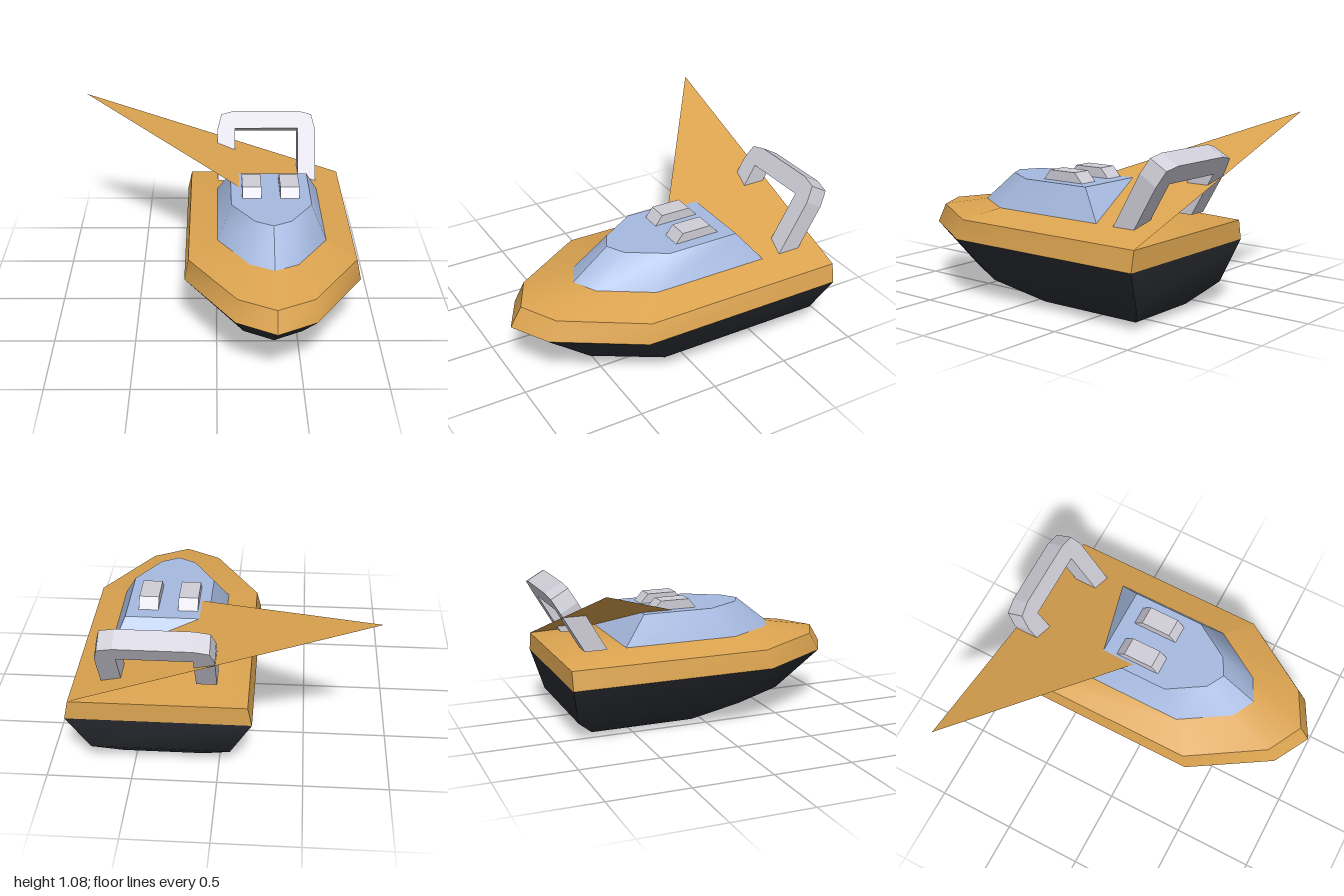
import * as THREE from 'three';
import { toCreasedNormals } from 'three/addons/utils/BufferGeometryUtils.js';

const CX = 0.342; // centre line of the boat

const paint = (name, color) => {
  const m = new THREE.MeshStandardMaterial({ color });
  m.name = name;
  return m;
};

// Seven-point pointed outline, from stern to bow and back to stern
function ring(y, halfWidth, back, shoulder, noseWidth, noseZ, tip) {
  return [
    [halfWidth, back], [halfWidth, shoulder], [noseWidth, noseZ], [0, tip],
    [-noseWidth, noseZ], [-halfWidth, shoulder], [-halfWidth, back],
  ].map(([x, z]) => [CX + x, y, z]);
}

// Skin stacked outlines, listed from bottom to top
function loft(rings, capBottom, capTop) {
  const n = rings[0].length, index = [];
  for (let r = 0; r < rings.length - 1; r++) {
    for (let i = 0; i < n; i++) {
      const a = r * n + i, b = r * n + (i + 1) % n;
      index.push(a, a + n, b, a + n, b + n, b);
    }
  }
  const top = (rings.length - 1) * n;
  for (let i = 1; i < n - 1; i++) {
    if (capBottom) index.push(0, i, i + 1);
    if (capTop) index.push(top, top + i + 1, top + i);
  }
  const g = new THREE.BufferGeometry();
  g.setAttribute('position', new THREE.Float32BufferAttribute(rings.flat(2), 3));
  g.setIndex(index);
  return toCreasedNormals(g, THREE.MathUtils.degToRad(34));
}

export function createModel() {
  const group = new THREE.Group();
  const orange = paint('orange', 0xdca450);
  orange.side = THREE.DoubleSide;
  const black = paint('charcoal', 0x2a2d33);
  const blue = paint('pale blue', 0xa6bae0);
  const grey = paint('light grey', 0xd0ced8);

  const add = (name, geometry, material) => {
    const mesh = new THREE.Mesh(geometry, material);
    mesh.name = name;
    group.add(mesh);
    return mesh;
  };

  // Outlines at each level
  const keel = ring(0, 0.245, -0.74, -0.06, 0.107, 0.15, 0.21);
  const chine = ring(0.125, 0.41, -0.87, 0.2, 0.18, 0.58, 0.68);
  const gunwale = ring(0.37, 0.54, -0.93, 0.38, 0.235, 0.87, 1.0);
  const rim = ring(0.49, 0.515, -0.93, 0.35, 0.225, 0.81, 0.93);
  const cabinBase = ring(0.55, 0.335, -0.53, 0.21, 0.145, 0.515, 0.59);
  const cabinRoof = ring(0.73, 0.25, -0.38, 0.08, 0.11, 0.305, 0.365);

  add('hull', loft([keel, chine, gunwale], true, false), black);
  add('gunwaleBand', loft([gunwale, rim], false, false), orange);
  add('deck', loft([rim, cabinBase], false, false), orange);
  add('cabin', loft([cabinBase, cabinRoof], false, true), blue);

  // Sloping sail-like panel from the deck edge to a high point at the side
  const panel = new THREE.BufferGeometry();
  panel.setAttribute('position', new THREE.Float32BufferAttribute(
    [0.857, 0.49, 0.35, 0.857, 0.49, -0.93, -0.89, 1.08, -0.93], 3));
  panel.computeVertexNormals();
  add('sidePanel', panel, orange);

  // Roof vents
  const ventShape = new THREE.Shape([[0, 0.725], [0.3, 0.725], [0.24, 0.79], [0.05, 0.79]]
    .map(([x, y]) => new THREE.Vector2(x, y)));
  for (const x of [0.162, 0.402]) {
    const g = new THREE.ExtrudeGeometry(ventShape, { depth: 0.12, bevelEnabled: false });
    g.rotateY(Math.PI / 2); // profile runs towards the stern
    g.translate(x, 0, 0);
    add('roofVent', g, grey);
  }

  // Raked arch with chamfered shoulders
  const half = [[0.335, 0], [0.335, 0.36], [0.31, 0.46], [0.22, 0.484]];
  const inner = [[-0.215, 0], [-0.215, 0.363], [0.215, 0.363], [0.215, 0]];
  const outline = [...half, ...half.map(([x, y]) => [-x, y]).reverse(), ...inner];
  const arch = new THREE.ExtrudeGeometry(
    new THREE.Shape(outline.map(([x, y]) => new THREE.Vector2(x, y))),
    { depth: 0.125, bevelEnabled: false });
  arch.translate(0, 0, -0.125);
  // Cut the feet level with the deck
  const p = arch.attributes.position;
  for (let i = 0; i < p.count; i++) {
    if (p.getY(i) < 1e-6) p.setY(i, -p.getZ(i) * Math.tan(Math.PI / 6));
  }
  arch.rotateX(-Math.PI / 6);
  arch.translate(CX + 0.003, 0.55, -0.65);
  arch.computeVertexNormals();
  add('rearArch', arch, grey);

  return group;
}
